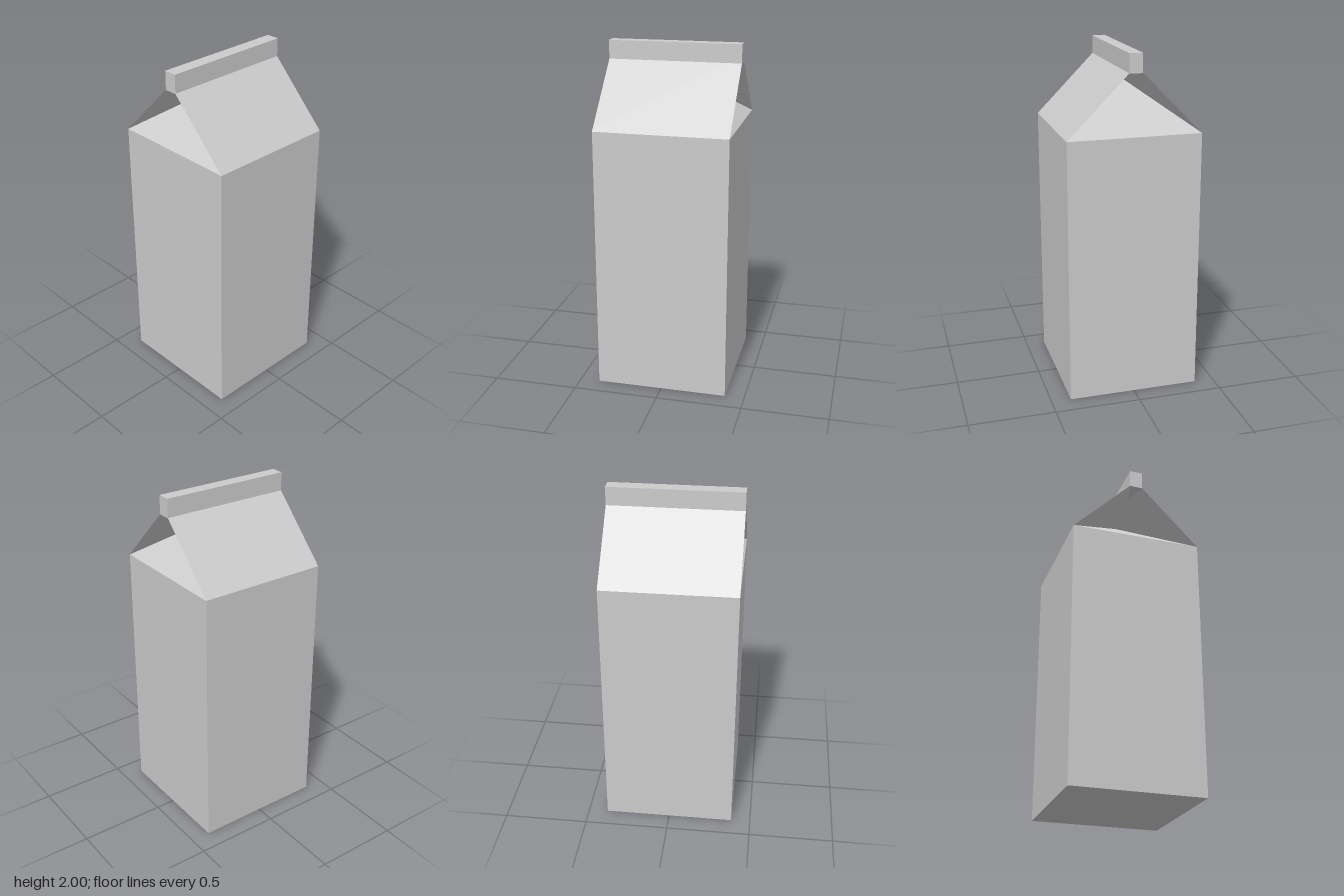
import * as THREE from 'three';

const HALF = 0.385;    // half width of the carton
const EAVE = 1.544;    // top of the straight walls
const PEAK = 1.932;    // line where the roof slopes meet
const FOLD = 1.825;    // point where the folded-in gables meet
const SEAL_BASE = 1.892, SEAL_TOP = 2, SEAL_WIDTH = 0.076;

// flat-shaded triangles from corner points
function facets(triangles) {
  const geometry = new THREE.BufferGeometry();
  geometry.setAttribute('position', new THREE.Float32BufferAttribute(triangles.flat(2), 3));
  geometry.computeVertexNormals();
  return geometry;
}

export function createModel() {
  const group = new THREE.Group();
  group.name = 'carton';
  const material = new THREE.MeshStandardMaterial({ color: 0xcccccc, flatShading: true });
  const roofMaterial = material.clone();
  roofMaterial.side = THREE.DoubleSide;

  const add = (name, geometry, mat = material) => {
    const mesh = new THREE.Mesh(geometry, mat);
    mesh.name = name;
    group.add(mesh);
    return mesh;
  };

  // straight-walled body
  add('body', new THREE.BoxGeometry(2 * HALF, EAVE, 2 * HALF).translate(0, EAVE / 2, 0));

  // corners of one end of the roof
  const left = [HALF, EAVE, HALF], right = [-HALF, EAVE, HALF];
  const leftBack = [HALF, EAVE, -HALF];
  const peak = [0, PEAK, HALF], peakBack = [0, PEAK, -HALF];
  const fold = [0, FOLD, 0];

  // each half turn gives one slope, one folded-in gable and its two flaps
  [['left', 'front', 0], ['right', 'back', Math.PI]].forEach(([side, end, turn]) => {
    const parts = {
      [side + 'RoofSlope']: [[left, leftBack, peakBack], [left, peakBack, peak]],
      [end + 'Gable']: [[left, fold, right]],
      [end + 'GableFlaps']: [[left, peak, fold], [right, fold, peak]],
    };
    for (const [name, triangles] of Object.entries(parts)) {
      add(name, facets(triangles), roofMaterial).rotation.y = turn;
    }
  });

  // sealed strip along the ridge
  const height = SEAL_TOP - SEAL_BASE;
  add('topSeal', new THREE.BoxGeometry(SEAL_WIDTH, height, 2 * HALF)
    .translate(0, SEAL_BASE + height / 2, 0));

  return group;
}
